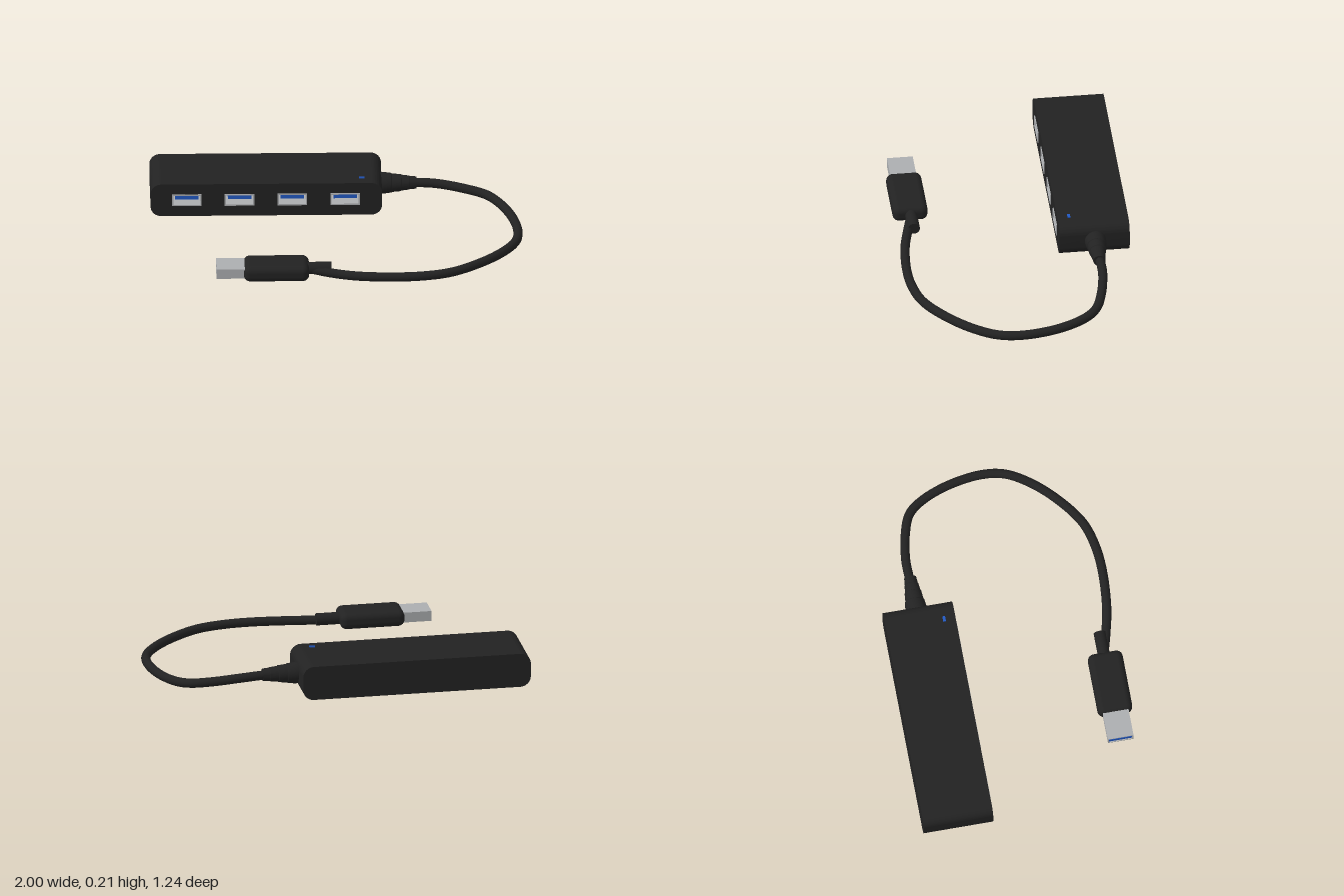
import * as THREE from 'three';
import { toCreasedNormals } from 'three/addons/utils/BufferGeometryUtils.js';
import { RoundedBoxGeometry } from 'three/addons/geometries/RoundedBoxGeometry.js';

const mat = (name, color) => Object.assign(new THREE.MeshStandardMaterial({ color }), { name });

// Rounded rectangle centred on (x, y), traced on a Shape or Path
function roundedRect(path, x, y, w, h, r) {
  const a = w / 2 - r, b = h / 2 - r;
  path.absarc(x + a, y + b, r, 0, Math.PI / 2);
  path.absarc(x - a, y + b, r, Math.PI / 2, Math.PI);
  path.absarc(x - a, y - b, r, Math.PI, Math.PI * 1.5);
  path.absarc(x + a, y - b, r, Math.PI * 1.5, Math.PI * 2);
  path.closePath();
  return path;
}

function rect(path, x, y, w, h) {
  path.moveTo(x - w / 2, y - h / 2).lineTo(x + w / 2, y - h / 2);
  path.lineTo(x + w / 2, y + h / 2).lineTo(x - w / 2, y + h / 2);
  path.closePath();
  return path;
}

const extrude = (shape, depth) =>
  toCreasedNormals(new THREE.ExtrudeGeometry(shape, { depth, bevelEnabled: false, curveSegments: 10 }), 0.5);

// Open rectangular metal tube, running along z from 0 to depth
function sleeve(w, h, wall, depth) {
  const shape = rect(new THREE.Shape(), 0, 0, w, h);
  shape.holes.push(rect(new THREE.Path(), 0, 0, w - 2 * wall, h - 2 * wall));
  return extrude(shape, depth);
}

export function createModel() {
  const black = mat('black plastic', 0x222222);
  const rubber = mat('dark rubber', 0x161616);
  const metal = mat('metal', 0xacaeb0);
  const blue = mat('blue plastic', 0x2259c4);

  const model = new THREE.Group();
  model.name = 'hub';
  const add = (name, geometry, material, x = 0, y = 0, z = 0, parent = model) => {
    const mesh = new THREE.Mesh(geometry, material);
    mesh.name = name;
    mesh.position.set(x, y, z);
    parent.add(mesh);
    return mesh;
  };

  // Housing: solid rear, front section with port openings
  const portX = [-0.805, -0.521, -0.237, 0.047], portY = 0.107, portW = 0.16, portH = 0.068;
  const outline = () => roundedRect(new THREE.Shape(), -0.377, 0.106, 1.246, 0.188, 0.058);
  const front = outline();
  for (const x of portX) front.holes.push(rect(new THREE.Path(), x, portY, portW - 0.004, portH - 0.004));
  add('housingRear', extrude(outline(), 0.27), black, 0, 0, -0.623);
  add('housingFront', extrude(front, 0.11), black, 0, 0, -0.353);

  // Ports: metal sleeve with a blue tongue in its upper half
  for (const x of portX) {
    const port = new THREE.Group();
    port.name = 'port';
    port.position.set(x, portY, -0.353);
    add('portSleeve', sleeve(portW, portH, 0.007, 0.115), metal, 0, 0, 0, port);
    add('portTongue', new THREE.BoxGeometry(0.126, 0.022, 0.1), blue, 0, 0.011, 0.052, port);
    model.add(port);
  }

  // Indicator light and feet
  add('indicatorLight', new THREE.BoxGeometry(0.03, 0.008, 0.015), blue, 0.137, 0.202, -0.305);
  for (const x of [-0.88, 0.127])
    for (const z of [-0.322, -0.538])
      add('foot', new THREE.CylinderGeometry(0.042, 0.042, 0.016, 24), rubber, x, 0.008, z);

  // Tapered, ribbed strain relief
  const profile = [[0, 0], [0.058, 0], [0.058, 0.02], [0.053, 0.06], [0.05, 0.062], [0.046, 0.11],
    [0.043, 0.112], [0.038, 0.155], [0.036, 0.158], [0.033, 0.195], [0, 0.195]];
  const relief = new THREE.LatheGeometry(profile.map(([r, y]) => new THREE.Vector2(r, y)), 24);
  add('strainRelief', toCreasedNormals(relief, 0.4), black, 0.24, 0.108, -0.437).rotation.z = -Math.PI / 2;

  // Cable
  const path = [[0.38, 0.108, -0.437], [0.46, 0.105, -0.442], [0.55, 0.098, -0.441], [0.7, 0.078, -0.415],
    [0.81, 0.062, -0.373], [0.875, 0.05, -0.3], [0.94, 0.042, -0.15], [0.972, 0.04, 0.04], [0.955, 0.04, 0.17],
    [0.88, 0.04, 0.3], [0.75, 0.04, 0.436], [0.6, 0.04, 0.54], [0.45, 0.04, 0.582], [0.3, 0.04, 0.592],
    [0.1, 0.04, 0.577], [-0.04, 0.045, 0.547], [-0.17, 0.058, 0.512]];
  const curve = new THREE.CatmullRomCurve3(path.map(p => new THREE.Vector3(...p)));
  add('cable', new THREE.TubeGeometry(curve, 120, 0.025, 14), black);

  // Plug: grip, collar, open metal shell and tongue
  add('plugGrip', new RoundedBoxGeometry(0.352, 0.09, 0.19, 5, 0.035), black, -0.337, 0.061, 0.516);
  add('plugCollar', new THREE.CylinderGeometry(0.033, 0.033, 0.14, 24), black, -0.11, 0.06, 0.513)
    .rotation.z = Math.PI / 2;
  add('plugShell', sleeve(0.14, 0.056, 0.006, 0.17), metal, -0.49, 0.062, 0.516).rotation.y = -Math.PI / 2;
  add('plugTongue', new THREE.BoxGeometry(0.16, 0.022, 0.127), blue, -0.574, 0.051, 0.516);
  return model;
}
